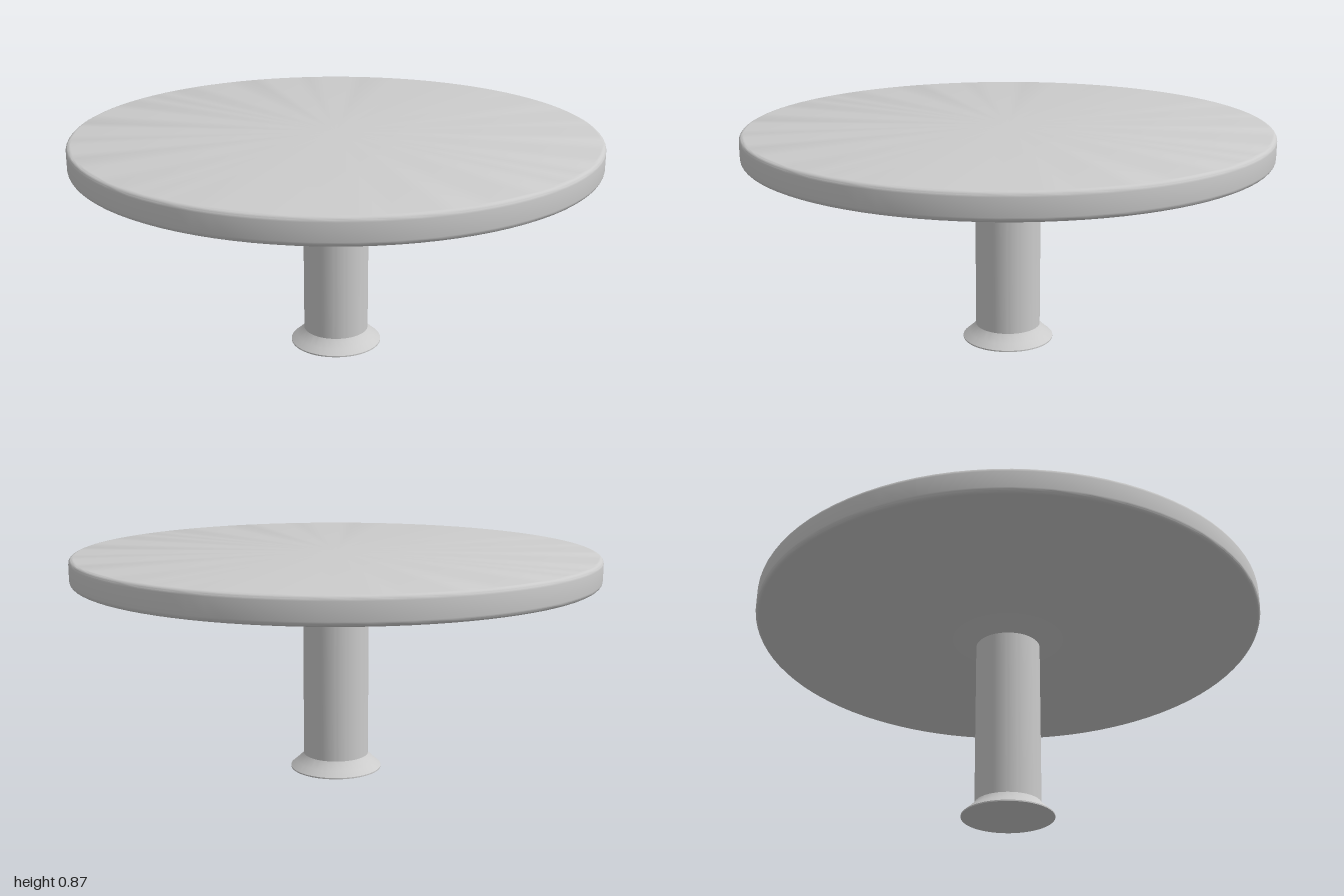
import * as THREE from 'three';
import { toCreasedNormals } from 'three/addons/utils/BufferGeometryUtils.js';

const material = new THREE.MeshStandardMaterial({ color: 0xcccccc });

// Turned part from [radius, height] pairs, listed bottom to top
function turned(name, profile) {
  const points = profile.map(([r, y]) => new THREE.Vector2(r, y));
  const geometry = toCreasedNormals(new THREE.LatheGeometry(points, 96), 0.5);
  const mesh = new THREE.Mesh(geometry, material);
  mesh.name = name;
  return mesh;
}

// Quarter-round edge centred on (r, y), sweeping 90 degrees from the start angle
function roundedEdge(r, y, radius, start, steps = 5) {
  return Array.from({ length: steps + 1 }, (_, i) => {
    const a = start + (i / steps) * Math.PI / 2;
    return [r + radius * Math.cos(a), y + radius * Math.sin(a)];
  });
}

export function createModel() {
  const model = new THREE.Group();
  model.name = 'pedestalTable';

  // Round top with softened rims
  const bottom = 0.767, top = 0.866, edge = 0.018;
  model.add(turned('tableTop', [
    [0, bottom],
    ...roundedEdge(1 - edge, bottom + edge, edge, -Math.PI / 2),
    ...roundedEdge(1 - edge, top - edge, edge, 0),
    [0, top],
  ]));

  // Shallow flared collar under the top
  model.add(turned('topCollar', [
    [0.127, 0.73], [0.16, 0.741], [0.2, 0.756], [0.225, 0.764], [0.25, 0.768],
  ]));

  // Straight column
  model.add(turned('column', [[0.127, 0.05], [0.127, 0.74]]));

  // Flared foot with a thin rim
  model.add(turned('foot', [
    [0, 0], [0.13, 0], [0.178, 0.007], [0.178, 0.012],
    [0.155, 0.032], [0.135, 0.051], [0.127, 0.062],
  ]));

  return model;
}
